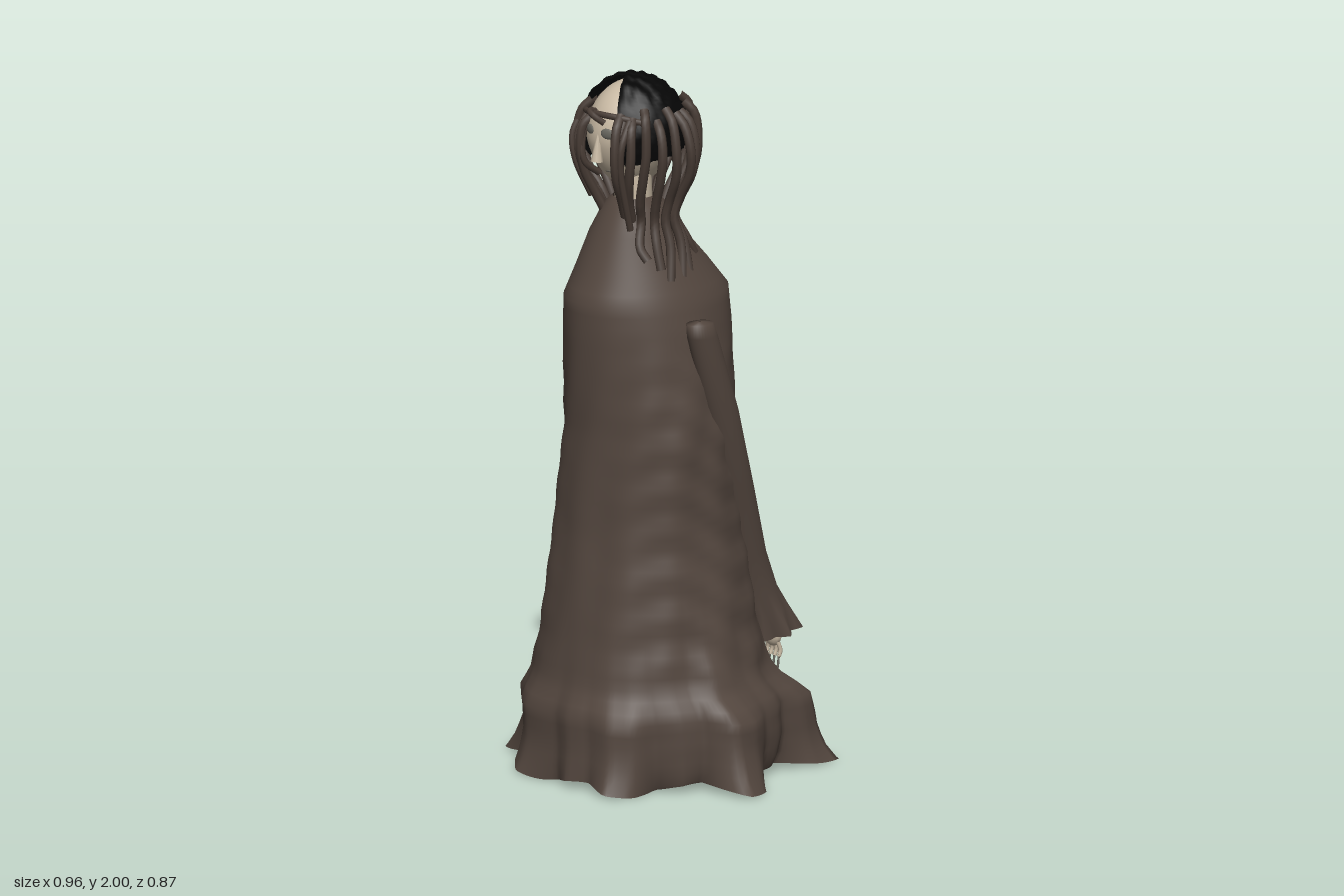
import * as THREE from 'three';

const mat = (name, color, side = THREE.FrontSide) => {
  const m = new THREE.MeshStandardMaterial({ color, side });
  m.name = name;
  return m;
};

// Closed-loop loft; at(i, angle) gives a point, rows run from top to bottom
function loft(rows, seg, at) {
  const pos = [], idx = [];
  for (let i = 0; i < rows; i++)
    for (let j = 0; j < seg; j++) pos.push(...at(i, (j / seg) * Math.PI * 2));
  for (let i = 0; i < rows - 1; i++)
    for (let j = 0; j < seg; j++) {
      const k = (j + 1) % seg, a = i * seg + j, b = i * seg + k, c = a + seg, d = b + seg;
      idx.push(a, c, b, b, c, d);
    }
  const g = new THREE.BufferGeometry();
  g.setAttribute('position', new THREE.Float32BufferAttribute(pos, 3));
  g.setIndex(idx);
  g.computeVertexNormals();
  return g;
}

// Linear interpolation in a table of rows keyed by a descending first column
function sample(table, y) {
  let i = 0;
  while (i < table.length - 2 && y < table[i + 1][0]) i++;
  const a = table[i], b = table[i + 1];
  const t = THREE.MathUtils.clamp((a[0] - y) / (a[0] - b[0]), 0, 1);
  return a.map((v, k) => v + (b[k] - v) * t);
}

const tube = (pts, r, n = 18, sides = 7) => new THREE.TubeGeometry(
  new THREE.CatmullRomCurve3(pts.map((p) => new THREE.Vector3(...p))), n, r, sides);

// Ragged hem corners on the floor, as x, z
const HEM = [[-.11, -.44], [-.02, -.41], [.015, -.31], [.12, -.33], [.2, -.29], [.30, -.36], [.32, -.26],
  [.27, -.13], [.31, -.10], [.31, -.04], [.44, .03], [.48, .12], [.31, .155], [.30, .22], [.23, .26],
  [.25, .36], [.205, .43], [.11, .40], [.04, .43], [-.02, .40], [-.17, .43], [-.235, .375], [-.26, .31],
  [-.415, .26], [-.39, .17], [-.44, .10], [-.38, .03], [-.39, -.04], [-.485, -.135], [-.35, -.24],
  [-.24, -.25], [-.17, -.40]];
const hemPolar = HEM.map(([x, z]) => [Math.atan2(x, z - .03), Math.hypot(x, z - .03)])
  .map(([a, r]) => [a < 0 ? a + Math.PI * 2 : a, r]).sort((p, q) => p[0] - q[0]);
function hemRadius(a) {
  const n = hemPolar.length;
  let i = 0;
  while (i < n && hemPolar[i][0] <= a) i++;
  const p = hemPolar[(i + n - 1) % n], q = hemPolar[i % n];
  const a0 = i === 0 ? p[0] - Math.PI * 2 : p[0];
  const a1 = i === n ? q[0] + Math.PI * 2 : q[0];
  return p[1] + (q[1] - p[1]) * (a - a0) / (a1 - a0);
}

// Robe sections: y, centre x, centre z, half width, half depth, share of the hem outline
const ROBE = [[1.655, -.02, .125, .055, .06, 0], [1.63, -.02, .12, .085, .09, 0], [1.55, -.03, .11, .12, .135, 0],
  [1.45, -.03, .085, .165, .2, 0], [1.37, -.03, .07, .2, .25, 0], [1.28, -.025, .07, .215, .25, 0],
  [1.0, -.015, .073, .245, .237, 0], [.7, -.025, .07, .265, .257, 0], [.4, -.02, .065, .3, .295, .05],
  [.27, -.02, .06, .335, .32, .1], [.2, -.01, .035, .38, .38, .35], [.1, 0, .025, .37, .385, .45],
  [.04, 0, .03, .38, .39, .7], [.012, 0, .03, .38, .39, 1]];

function robeGeometry() {
  const ys = ROBE.slice(0, 4).map((r) => r[0]);
  for (let i = 0; i <= 46; i++) ys.push(1.4 - i * .03);
  ys.push(.012);
  return loft(ys.length, 180, (i, a) => {
    const y = ys[i];
    const [, cx, cz, rx, rz, w] = sample(ROBE, y);
    const h = hemRadius(a), s = Math.sin(a), c = Math.cos(a);
    // Long diagonal folds, with finer creases down the sides
    const rough = THREE.MathUtils.smoothstep(1.45 - y, 0, .5) * (1 - w);
    const f = 1 + rough * (.014 * Math.sin(5 * a - 4 * y) + .01 * Math.sin(11 * a - 7 * y + Math.sin(9 * y))
      + .018 * s * s * Math.sin(3 * a + 52 * y + 2 * Math.sin(4 * a)));
    return [(cx + rx * f * s) * (1 - w) + h * s * w, y + .012 * w * Math.sin(7 * a),
      (cz + rz * f * c) * (1 - w) + (.03 + h * c) * w];
  });
}

// Sleeve sections: y, blend from shoulder to cuff in x, centre z, half width, half depth
function sleeveGeometry(x0, x1) {
  const S = [[1.325, 0, .08, .004, .004], [1.32, 0, .08, .032, .042], [1.28, 0, .07, .036, .048], [1.05, .1, -.01, .04, .052],
    [.8, .4, -.092, .045, .056], [.6, .75, -.16, .053, .062], [.48, .95, -.2, .07, .075],
    [.42, 1, -.235, .08, .08], [.35, 1, -.265, .088, .085]];
  return loft(S.length, 32, (i, a) => {
    const [y, t, cz, rx, rz] = S[i];
    const flare = i === S.length - 1 ? 1 + .17 * Math.cos(8 * a) : 1;
    const s = Math.sin(a), c = Math.cos(a);
    const tilt = i > 5 ? -.15 * c * rz : 0;
    return [x0 + (x1 - x0) * t + rx * flare * s, y + tilt, cz + rz * flare * c];
  });
}

export function createModel() {
  const cloth = mat('robe brown', 0x54473f, THREE.DoubleSide);
  const hair = mat('strand brown', 0x483c35);
  const black = mat('cap black', 0x060606, THREE.DoubleSide);
  const skin = mat('pale skin', 0xc8b9a3);
  const grey = mat('dull grey', 0x6c6a62);
  const model = new THREE.Group();
  const add = (name, geo, m, parent = model) => {
    const mesh = new THREE.Mesh(geo, m);
    mesh.name = name;
    parent.add(mesh);
    return mesh;
  };

  add('robe', robeGeometry(), cloth);

  // Sleeves with hands hanging behind the back
  for (const [side, x0, x1] of [['left', .212, .1], ['right', -.255, -.14]]) {
    add(side + 'Sleeve', sleeveGeometry(x0, x1), cloth);
    const hand = new THREE.Group();
    hand.name = side + 'Hand';
    hand.position.set(x1, .335, -.285);
    model.add(hand);
    add('wrist', new THREE.CylinderGeometry(.014, .018, .07, 10), skin, hand).position.y = .035;
    add('palm', new THREE.SphereGeometry(.034, 14, 10), skin, hand).scale.set(1, 1.05, .5);
    for (let i = 0; i < 4; i++) {
      const x = (i - 1.5) * .015;
      add('finger', tube([[x, -.02, 0], [x * 1.2, -.045, -.006], [x * 1.2, -.062, 0]], .006, 6, 6), skin, hand);
      add('nail', tube([[x * 1.2, -.055, 0], [x * 1.3, -.08, .004], [x * 1.2, -.1, .006]], .0035, 5, 5), grey, hand);
    }
  }

  // Head: an egg that narrows to the chin
  const headGeo = new THREE.SphereGeometry(1, 32, 24);
  const p = headGeo.attributes.position;
  for (let i = 0; i < p.count; i++) {
    const y = p.getY(i), k = y < 0 ? 1 + .3 * y : 1;
    p.setXYZ(i, p.getX(i) * .115 * k, y * .155, p.getZ(i) * .14 * (y < 0 ? 1 + .12 * y : 1));
  }
  headGeo.computeVertexNormals();
  add('head', headGeo, skin).position.set(-.035, 1.83, .115);
  add('neck', new THREE.CylinderGeometry(.05, .055, .14, 18), skin).position.set(-.02, 1.67, .125);
  const nose = add('nose', new THREE.ConeGeometry(.018, .11, 8), skin);
  nose.position.set(-.025, 1.825, .25);
  nose.rotation.x = -.1;
  for (const s of [-1, 1]) {
    const eye = add('eye', new THREE.SphereGeometry(.022, 12, 8), grey);
    eye.scale.set(1, .7, .25);
    eye.position.set(-.027 + s * .036, 1.855, .246);
    eye.rotation.y = s * .3;
  }
  const mouth = add('mouth', new THREE.SphereGeometry(.018, 10, 6), grey);
  mouth.scale.set(1, .2, .25);
  mouth.position.set(-.027, 1.737, .214);

  // Bumpy hair cap, tipped forward and parted above the forehead
  const capGeo = new THREE.SphereGeometry(1, 48, 28, Math.PI / 2 + .68, Math.PI * 2 - 1.36, 0, 2.05);
  const q = capGeo.attributes.position;
  for (let i = 0; i < q.count; i++) {
    const x = q.getX(i), y = q.getY(i), z = q.getZ(i);
    const f = 1 + .03 * Math.sin(19 * x + 5 * y) * Math.sin(21 * z + 13 * y);
    q.setXYZ(i, x * .157 * f, y * .156 * f, z * .148 * f);
  }
  capGeo.computeVertexNormals();
  const cap = add('hairCap', capGeo, black);
  cap.position.set(-.037, 1.843, .108);
  cap.rotation.set(.13, -.12, .08);

  // Strands that bulge out from the cap and gather at the neck
  const strands = new THREE.Group();
  strands.name = 'hairStrands';
  model.add(strands);
  const N = 21;
  for (let i = 0; i < N; i++) {
    const wob = Math.sin(i * 5.3), long = i < 10 ? Math.sin((i + .8) / 10 * Math.PI) ** 2 : 0;
    const a = .48 + (i / (N - 1)) * (Math.PI * 2 - .96) + .04 * Math.sin(i * 2.9) * Math.sin(Math.PI * i / (N - 1));
    const at = (r, y, tw = 0) => [-.02 + Math.sin(a + tw) * r, y, .108 + Math.cos(a + tw) * r * 1.02];
    const top = 1.9 + .018 * Math.sin(i * 3.7);
    const pts = [at(.125, top + .01), at(.155, top - .02), at(.17 + .008 * wob, 1.8), at(.158 + .01 * wob, 1.73, .05 * wob),
      at(.115 + .015 * long, 1.655, .1 * wob), at(.088 + .03 * long, 1.6, .06 * wob)];
    if (long > .3) pts.push(at(.135, 1.53, .1 * wob), at(.155, 1.46 - .04 * wob, -.05 * wob));
    add('strand', tube(pts, .0135, 26), hair, strands);
  }

  // Band of hair across the brow, with a small curled knot
  add('browBand', tube([[-.15, 1.885, .18], [-.1, 1.9, .23], [-.03, 1.908, .252], [.04, 1.905, .23], [.09, 1.89, .18]],
    .009), hair);
  add('browKnot', tube([[-.05, 1.91, .24], [-.045, 1.915, .265], [-.02, 1.905, .27], [0, 1.885, .25]], .009, 10), hair);
  // Loose locks beside the face
  for (const [x, end] of [[-.125, 1.65], [-.105, 1.68], [-.085, 1.72], [.05, 1.66], [.07, 1.58]]) {
    add('faceLock', tube([[x, 1.9, .215], [x * 1.08, 1.83, .25], [x, 1.76, .25], [x * .85, end, .205]], .01), hair);
  }
  return model;
}
